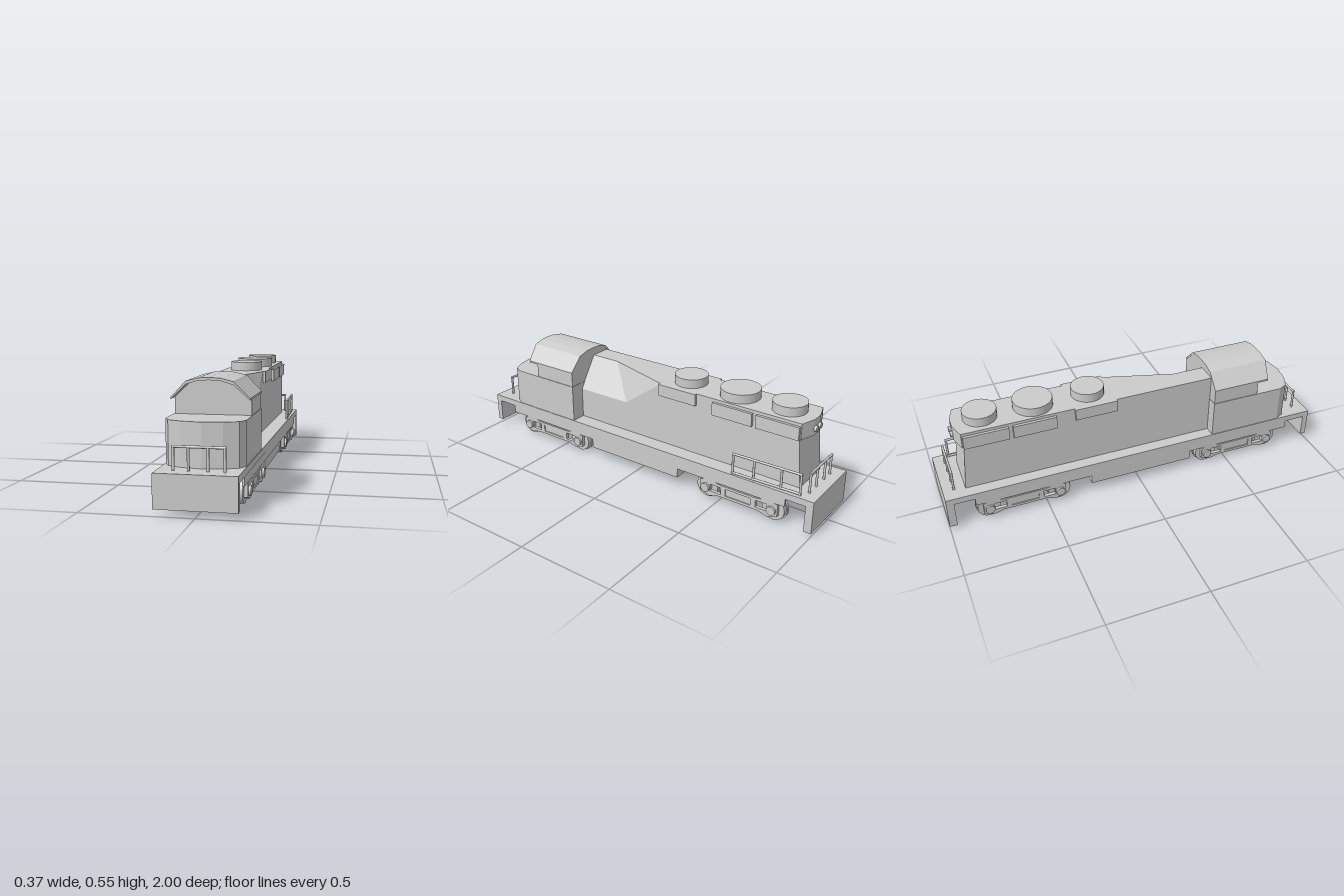
import * as THREE from 'three';
import { ConvexGeometry } from 'three/addons/geometries/ConvexGeometry.js';

export function createModel() {
  const root = new THREE.Group();
  root.name = 'locomotive';
  const mat = new THREE.MeshStandardMaterial({ color: 0xcccccc, flatShading: true });
  const smooth = new THREE.MeshStandardMaterial({ color: 0xcccccc });

  const add = (name, geo, m = mat) => {
    const mesh = new THREE.Mesh(geo, m);
    mesh.name = name;
    root.add(mesh);
    return mesh;
  };
  // Box given by its limits on each axis
  const box = (name, x0, x1, y0, y1, z0, z1) => {
    const mesh = add(name, new THREE.BoxGeometry(x1 - x0, y1 - y0, z1 - z0));
    mesh.position.set((x0 + x1) / 2, (y0 + y1) / 2, (z0 + z1) / 2);
    return mesh;
  };
  // Round bar between two points
  const rod = (name, a, b, r, sides = 10) => {
    const p = new THREE.Vector3(...a), q = new THREE.Vector3(...b);
    const d = q.clone().sub(p);
    const mesh = add(name, new THREE.CylinderGeometry(r, r, d.length(), sides), smooth);
    mesh.position.copy(p).add(q).multiplyScalar(0.5);
    mesh.quaternion.setFromUnitVectors(new THREE.Vector3(0, 1, 0), d.normalize());
    return mesh;
  };
  const shape = pts => new THREE.Shape(pts.map(p => new THREE.Vector2(...p)));
  // Cross-section in x, y carried along z
  const section = (name, pts, z0, z1) => {
    const geo = new THREE.ExtrudeGeometry(shape(pts), { depth: z1 - z0, bevelEnabled: false });
    geo.translate(0, 0, z0);
    return add(name, geo);
  };
  // Mirrors a half outline (from x > 0 towards x = 0)
  const mirrored = half => [...half, ...half.filter(p => p[0] > 0).reverse().map(([x, y]) => [-x, y])];

  // Deck, end plates, side sills and tank
  box('deck', -0.178, 0.178, 0.148, 0.18, -1, 1);
  box('frontPlate', -0.178, 0.178, 0.03, 0.148, 0.97, 1);
  box('rearPlate', -0.178, 0.178, 0.015, 0.148, -1, -0.962);
  for (const s of [-1, 1]) {
    const x = s * 0.171;
    box('sideSill', x - 0.006, x + 0.006, 0.107, 0.148, -0.86, 0.86);
  }
  box('fuelTank', -0.172, 0.172, 0.055, 0.148, -0.265, 0.285);

  // Long hood, with a chamfered shoulder on its left behind the cab
  const hx = -0.01, hw = 0.108, x0 = hx - hw, x1 = hx + hw;
  const rear = section('rearHood', [[x0, 0.18], [x1, 0.18], [x1, 0.5], [x0, 0.5]], -0.86, -0.11);
  const pos = rear.geometry.attributes.position;
  for (let i = 0; i < pos.count; i++) {
    if (pos.getZ(i) < -0.8 && pos.getY(i) < 0.3) pos.setZ(i, -0.89);
  }
  rear.geometry.computeVertexNormals();
  section('frontHood', [[x0, 0.18], [x1, 0.18], [x1, 0.34], [hx, 0.5], [x0, 0.5]], -0.11, 0.43);
  add('shoulderGusset', new ConvexGeometry([
    [hx, 0.5, -0.11], [x1, 0.5, -0.11], [x1, 0.34, -0.11], [x1, 0.34, 0.11], [hx, 0.5, 0.25],
  ].map(p => new THREE.Vector3(...p))));

  // Grilles along the upper hood
  for (const [z0, z1, y0, y1] of [[-0.32, -0.105, 0.44, 0.5], [-0.63, -0.415, 0.42, 0.485], [-0.87, -0.65, 0.42, 0.485]]) {
    box('rightGrille', x0 - 0.014, x0, y0, y1, z0, z1);
    box('leftGrille', x1, x1 + 0.014, y0, y1, z0, z1);
  }

  // Rear lamp housing with a shallow peak, and its two lamps
  const housing = new THREE.ExtrudeGeometry(
    shape([[x0, 0.84], [x1, 0.84], [x1, 0.875], [hx + 0.03, 0.9], [hx - 0.03, 0.9], [x0, 0.875]]),
    { depth: 0.08, bevelEnabled: false });
  housing.rotateX(-Math.PI / 2);
  housing.translate(0, 0.42, 0);
  add('lampHousing', housing);
  for (const s of [-1, 1]) {
    rod('rearLamp', [hx + s * 0.02, 0.452, -0.89], [hx + s * 0.02, 0.452, -0.912], 0.014, 16);
  }

  // Roof fans
  for (const [z, r] of [[-0.22, 0.083], [-0.5, 0.098], [-0.76, 0.083]]) {
    rod('roofFan', [hx, 0.495, z], [hx, 0.545, z], r, 32);
  }

  // Cab: lower part, nose with a curved front, upper part and arched roof
  const plan = mirrored([[0.175, -0.41], [0.175, -0.8], [0.152, -0.845], [0.09, -0.873], [0, -0.887]].map(p => [p[0], -p[1]]));
  const nose = new THREE.ExtrudeGeometry(shape(plan), { depth: 0.195, bevelEnabled: false });
  nose.rotateX(Math.PI / 2);
  nose.translate(0, 0.375, 0);
  add('cabNose', nose);
  const arch = [[0.175, 0.455], [0.105, 0.527], [0.05, 0.541], [0, 0.544]];
  const under = [[0, 0.532], [0.05, 0.529], [0.105, 0.512], [0.175, 0.446]];
  section('cabUpper', mirrored([[0.172, 0.37], [0.172, 0.449], [0.105, 0.515], [0.05, 0.531], [0, 0.534]]), 0.412, 0.66);
  const left = [...arch, ...under];
  const roof = section('cabRoof', [...arch, ...arch.slice(0, 3).reverse().map(([x, y]) => [-x, y]),
    ...under.slice(1).reverse().map(([x, y]) => [-x, y]), ...under], 0.41, 0.715);
  const rp = roof.geometry.attributes.position;
  // Front edge reaches further forward at the crown
  for (let i = 0; i < rp.count; i++) {
    if (rp.getZ(i) > 0.6 && Math.abs(rp.getX(i)) < 0.12) rp.setZ(i, 0.73);
  }
  roof.geometry.computeVertexNormals();

  // End railings
  for (const z of [0.935, -0.945]) {
    for (const x of [-0.106, -0.042, 0.04, 0.11]) rod('railPost', [x, 0.178, z], [x, 0.28, z], 0.006);
    rod('endRail', [-0.112, 0.28, z], [0.116, 0.28, z], 0.006);
  }
  // Side railing on the left rear, slightly skewed
  const railX = z => 0.165 + (z + 0.58) * 0.03;
  for (const z of [-0.575, -0.685, -0.825, -0.92]) {
    rod('sideRailPost', [railX(z), 0.178, z], [railX(z), 0.285, z], 0.006);
  }
  for (const y of [0.186, 0.285]) rod('sideRail', [railX(-0.57), y, -0.57], [railX(-0.925), y, -0.925], 0.006);

  // Trucks: two wheels and a slotted side frame on each side
  const frameShape = () => {
    const s = shape([[-0.21, 0.04], [-0.16, 0.022], [-0.11, 0.036], [0.11, 0.036], [0.16, 0.022], [0.21, 0.04],
      [0.21, 0.1], [0.17, 0.114], [0.1, 0.1], [-0.1, 0.1], [-0.17, 0.114], [-0.21, 0.1]]);
    for (const [a, b] of [[-0.155, -0.095], [-0.07, 0.07], [0.095, 0.155]]) {
      s.holes.push(new THREE.Path([[a, 0.05], [a, 0.087], [b, 0.087], [b, 0.05]].map(p => new THREE.Vector2(...p))));
    }
    return s;
  };
  for (const zc of [0.565, -0.615]) {
    for (const s of [-1, 1]) {
      const geo = new THREE.ExtrudeGeometry(frameShape(), { depth: 0.018, bevelEnabled: false });
      geo.rotateY(Math.PI / 2);
      geo.translate(s * 0.167 - 0.009, 0, zc);
      add('truckFrame', geo);
      box('truckSpring', s * 0.164 - 0.007, s * 0.164 + 0.007, 0.05, 0.087, zc - 0.07, zc + 0.07);
      for (const dz of [-0.18, 0.18]) {
        const z = zc + dz;
        rod('wheel', [s * 0.136, 0.064, z], [s * 0.158, 0.064, z], 0.058, 28);
        rod('wheelFlange', [s * 0.12, 0.064, z], [s * 0.136, 0.064, z], 0.064, 28);
        rod('axleHub', [s * 0.158, 0.064, z], [s * 0.187, 0.064, z], 0.023, 16);
      }
    }
  }
  return root;
}
